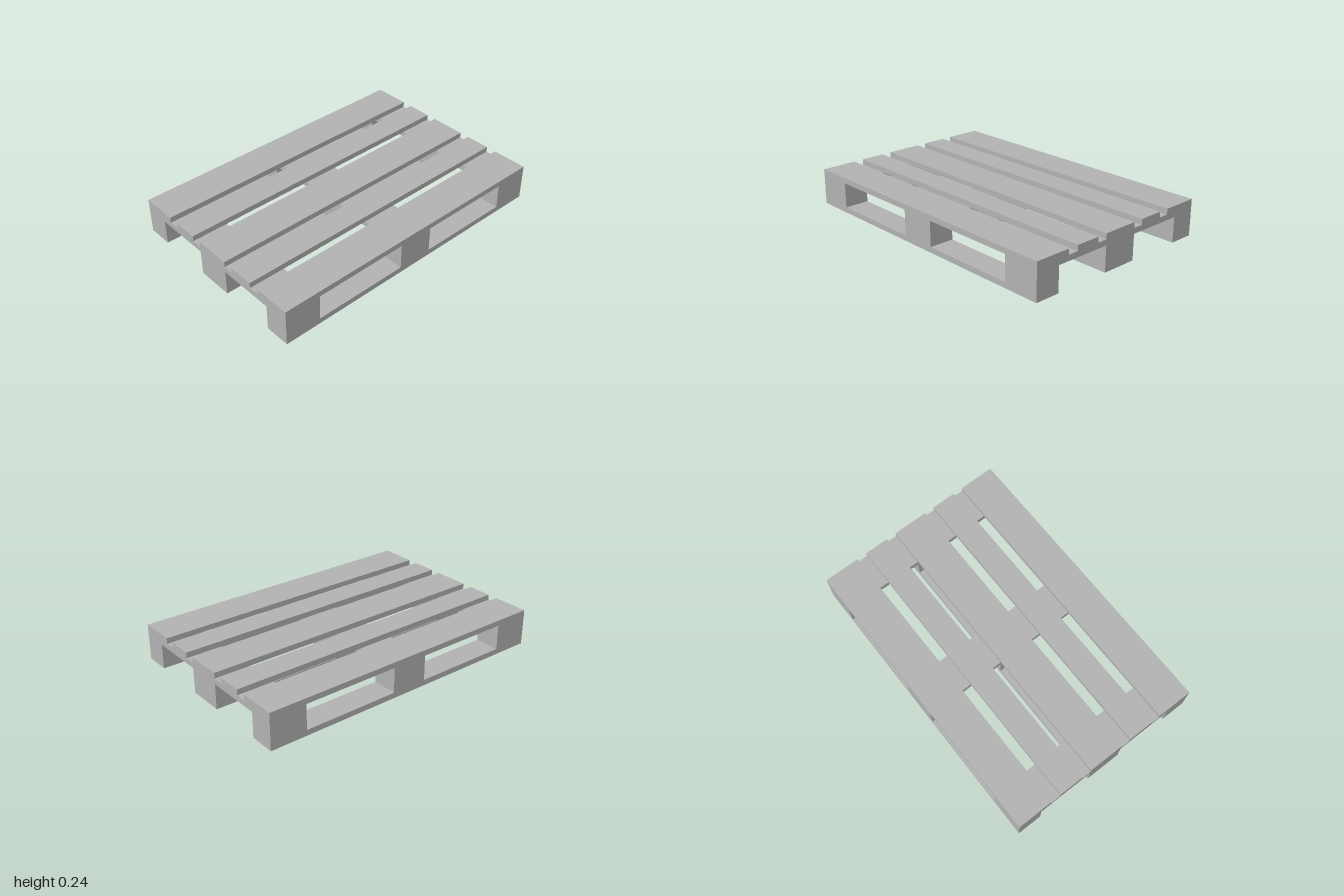
import * as THREE from 'three';

export function createModel() {
  const pallet = new THREE.Group();
  pallet.name = 'pallet';
  const wood = new THREE.MeshStandardMaterial({ color: 0xb2b2b2 });
  wood.name = 'plain grey';

  const LENGTH = 2, DEPTH = 1.333;
  const BOARD = 0.0367, BLOCK = 0.13;      // thicknesses
  const WIDE = 0.2417, NARROW = 0.1667;    // board widths

  // Box standing on height y
  function slab(name, w, h, d, x, y, z) {
    const mesh = new THREE.Mesh(new THREE.BoxGeometry(w, h, d), wood);
    mesh.name = name;
    mesh.position.set(x, y + h / 2, z);
    pallet.add(mesh);
  }

  const crossX = (LENGTH - WIDE) / 2;
  const runnerZ = (DEPTH - NARROW) / 2;
  const crossY = BOARD + BLOCK;
  const deckY = crossY + BOARD;

  // Three skids, each a bottom board with three blocks
  for (const side of [-1, 0, 1]) {
    const d = side === 0 ? WIDE : NARROW;
    slab('bottomBoard', LENGTH, BOARD, d, 0, 0, side * runnerZ);
    for (const col of [-1, 0, 1]) {
      slab('block', WIDE, BLOCK, d, col * crossX, BOARD, side * runnerZ);
    }
  }

  // Cross boards over the blocks
  for (const col of [-1, 0, 1]) {
    slab('crossBoard', WIDE, BOARD, DEPTH, col * crossX, crossY, 0);
  }

  // Deck: wide boards at the edges and middle, narrow ones between
  const outerZ = (DEPTH - WIDE) / 2;
  for (const side of [-1, 0, 1]) {
    slab('wideDeckBoard', LENGTH, BOARD, WIDE, 0, deckY, side * outerZ);
  }
  for (const side of [-1, 1]) {
    slab('narrowDeckBoard', LENGTH, BOARD, NARROW, 0, deckY, side * outerZ / 2);
  }

  return pallet;
}
